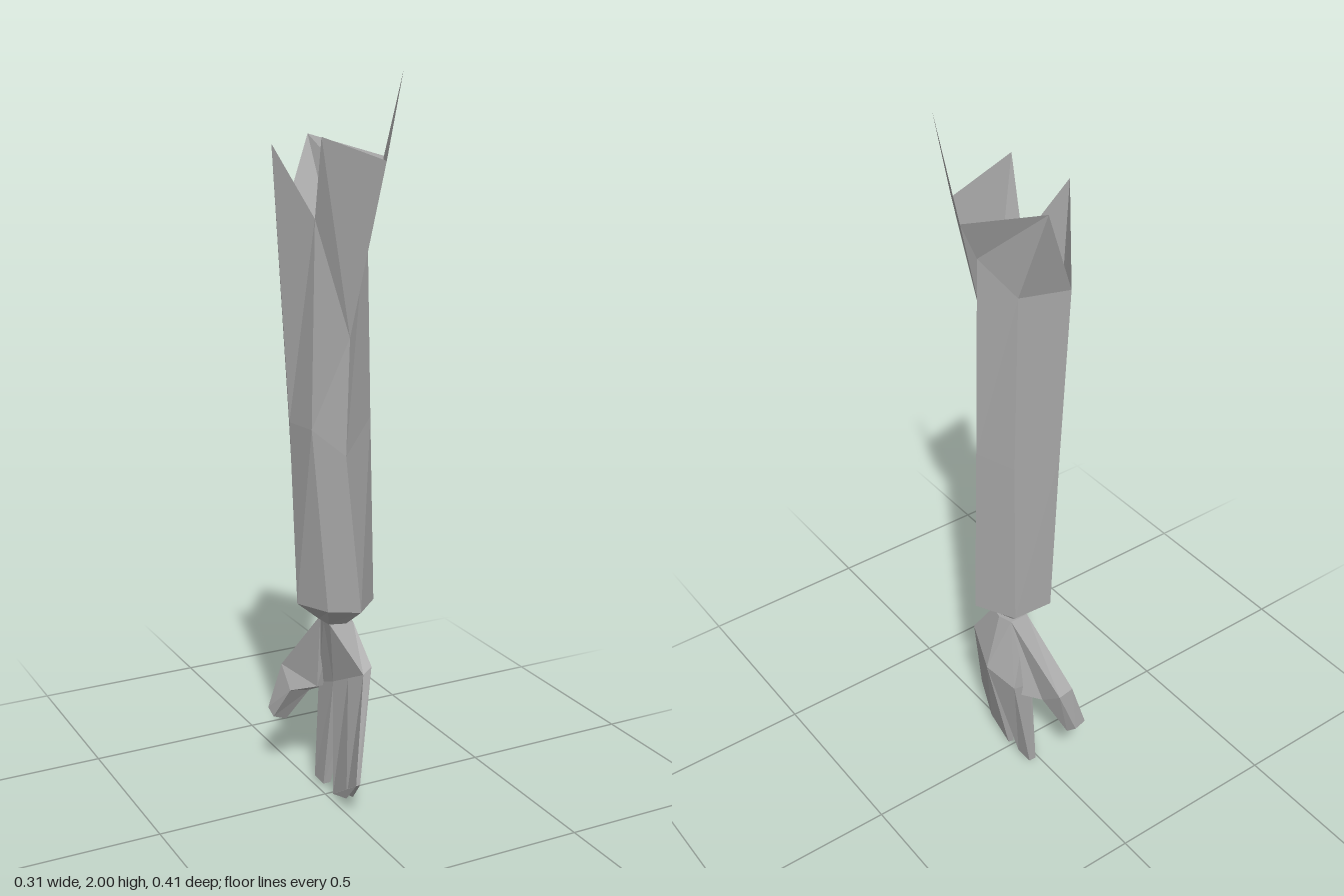
import * as THREE from 'three';

const grey = new THREE.MeshStandardMaterial({ color: 0xa6a6a6, flatShading: true, side: THREE.DoubleSide });
grey.name = 'plain grey';

// Mesh from a flat list of corner points, three per triangle
function meshFrom(name, corners) {
  const geometry = new THREE.BufferGeometry();
  geometry.setAttribute('position', new THREE.Float32BufferAttribute(corners.flat(), 3));
  geometry.computeVertexNormals();
  const mesh = new THREE.Mesh(geometry, grey);
  mesh.name = name;
  return mesh;
}

// Skin over rings listed bottom to top, each anticlockwise seen from above
function loft(rings, capBottom = false, capTop = false) {
  const out = [];
  for (let r = 0; r < rings.length - 1; r++) {
    const a = rings[r], b = rings[r + 1], n = a.length;
    for (let i = 0; i < n; i++) {
      const j = (i + 1) % n;
      out.push(a[i], a[j], b[j], a[i], b[j], b[i]);
    }
  }
  const first = rings[0], last = rings[rings.length - 1];
  for (let i = 1; i < first.length - 1; i++) {
    if (capBottom) out.push(first[0], first[i + 1], first[i]);
    if (capTop) out.push(last[0], last[i], last[i + 1]);
  }
  return out;
}

export function createModel() {
  const group = new THREE.Group();
  group.name = 'arm';

  // Wrist opening and sleeve rings: front right, front left, left, back left, back right, right
  const neck = [[-0.01, 0.53, 0.04], [0.035, 0.53, 0.055], [0.07, 0.535, 0.03],
    [0.05, 0.54, -0.03], [0.0, 0.54, -0.035], [-0.02, 0.535, 0.0]];
  const hem = [[-0.04, 0.59, 0.095], [0.055, 0.575, 0.105], [0.128, 0.58, 0.04],
    [0.07, 0.58, -0.07], [-0.04, 0.59, -0.085], [-0.085, 0.59, 0.0]];
  const middle = [[-0.09, 1.1, 0.1], [0.005, 1.02, 0.11], [0.114, 1.1, 0.04],
    [0.06, 1.08, -0.055], [-0.068, 1.08, -0.08], [-0.105, 1.1, 0.0]];
  const top = [[-0.08, 1.64, 0.1], [0.02, 1.33, 0.1], [0.1, 1.67, 0.04],
    [0.04, 1.58, -0.045], [-0.1, 1.57, -0.075], [-0.155, 1.82, 0.01]];
  group.add(meshFrom('cuff', loft([neck, hem])));
  group.add(meshFrom('sleeve', loft([hem, middle, top])));

  // Torn points rising from the top ring
  const [h, v, k, l, b] = top;
  const frontTip = [-0.095, 1.845, 0.166], frontEdge = [0.087, 1.78, 0.163];
  const spike = [0.108, 2.0, 0.204], sideTip = [0.15, 1.78, 0.035], backTip = [0.013, 1.83, -0.127];
  group.add(meshFrom('frontTear', [h, v, frontTip, v, frontEdge, frontTip]));
  group.add(meshFrom('tallTear', [v, sideTip, frontEdge, v, k, sideTip, frontEdge, sideTip, spike]));
  group.add(meshFrom('backTear', [k, backTip, sideTip, k, l, backTip, l, b, backTip]));

  // Hand rings: inner front, outer front, outer middle, outer back, inner back, inner middle
  const wrist = [[-0.01, 0.53, 0.05], [0.06, 0.53, 0.05], [0.068, 0.53, 0.01],
    [0.055, 0.53, -0.03], [0.0, 0.53, -0.03], [-0.01, 0.53, 0.01]];
  const knuckles = [[0.055, 0.4, 0.12], [0.08, 0.42, 0.12], [0.12, 0.37, 0.0],
    [0.085, 0.33, -0.085], [0.02, 0.31, -0.08], [0.025, 0.34, 0.0]];
  group.add(meshFrom('palm', loft([knuckles, wrist], true, true)));

  // Broad front finger group
  group.add(meshFrom('broadFinger', loft([
    [[0.0, 0.11, 0.185], [0.012, 0.11, 0.185], [0.03, 0.035, 0.11],
      [0.038, 0.005, 0.01], [0.02, 0.0, 0.01], [0.01, 0.035, 0.11]],
    [[0.055, 0.4, 0.12], [0.08, 0.42, 0.12], [0.1, 0.395, 0.06],
      [0.12, 0.37, 0.0], [0.025, 0.34, 0.0], [0.04, 0.37, 0.06]],
  ], true)));

  // Narrow rear finger
  group.add(meshFrom('narrowFinger', loft([
    [[0.015, 0.01, -0.04], [0.037, 0.01, -0.04], [0.037, 0.012, -0.095], [0.015, 0.012, -0.095]],
    [[0.025, 0.34, 0.0], [0.12, 0.37, 0.0], [0.085, 0.33, -0.085], [0.02, 0.31, -0.08]],
  ], true)));

  // Thumb: inner front, outer front, outer back, inner back
  group.add(meshFrom('thumb', loft([
    [[-0.075, 0.18, -0.18], [-0.035, 0.165, -0.18], [-0.045, 0.19, -0.207], [-0.08, 0.2, -0.205]],
    [[-0.05, 0.28, -0.12], [0.01, 0.27, -0.12], [0.0, 0.325, -0.187], [-0.045, 0.335, -0.187]],
    [[0.0, 0.31, -0.05], [0.08, 0.3, -0.07], [0.055, 0.53, -0.03], [0.0, 0.53, -0.03]],
  ], true, true)));

  return group;
}
